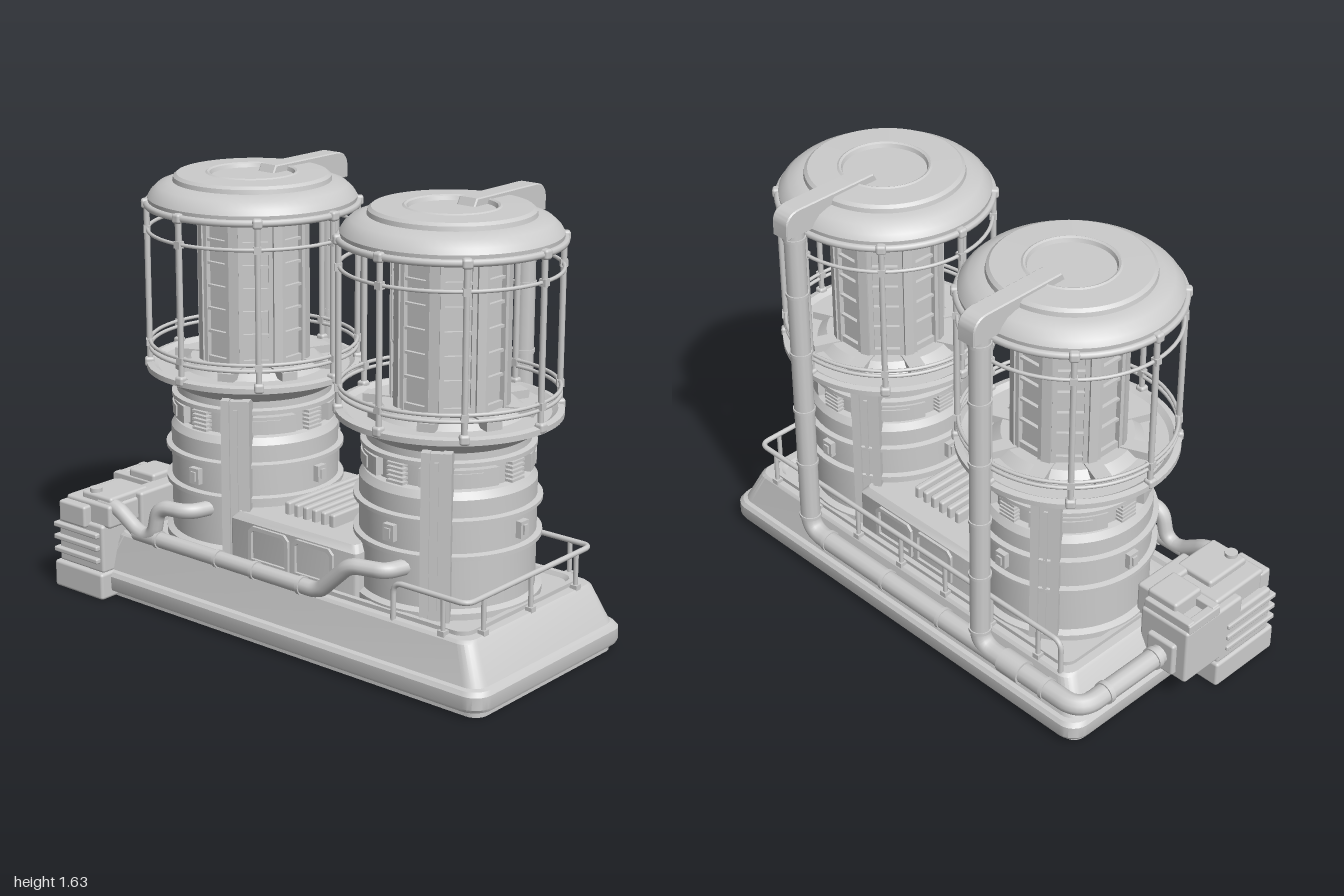
import * as THREE from 'three';
import { toCreasedNormals } from 'three/addons/utils/BufferGeometryUtils.js';
import { RoundedBoxGeometry } from 'three/addons/geometries/RoundedBoxGeometry.js';

const mat = new THREE.MeshStandardMaterial({ color: 0xcccccc });
const V = (x, y, z) => new THREE.Vector3(x, y, z);

function add(parent, name, geo, x = 0, y = 0, z = 0) {
  const m = new THREE.Mesh(geo, mat);
  m.name = name;
  m.position.set(x, y, z);
  parent.add(m);
  return m;
}
function sub(parent, name, x = 0, y = 0, z = 0, ry = 0) {
  const g = new THREE.Group();
  g.name = name;
  g.position.set(x, y, z);
  g.rotation.y = ry;
  parent.add(g);
  return g;
}
const box = (w, h, d) => new THREE.BoxGeometry(w, h, d);
// box given by its extents, with slightly rounded edges
function block(parent, name, x0, x1, y0, y1, z0, z1, r = 0.012) {
  return add(parent, name, new RoundedBoxGeometry(x1 - x0, y1 - y0, z1 - z0, 2, r),
    (x0 + x1) / 2, (y0 + y1) / 2, (z0 + z1) / 2);
}
const lathe = (pts, n = 64) =>
  toCreasedNormals(new THREE.LatheGeometry(pts.map(p => new THREE.Vector2(...p)), n), 0.5);
const hoop = (R, r) => new THREE.TorusGeometry(R, r, 8, 64).rotateX(Math.PI / 2);

// stacked rounded rectangles [halfWidth, halfDepth, cornerRadius, y], bottom to top
function loft(sections, n = 6) {
  const pos = [], idx = [], N = 4 * (n + 1);
  for (const [hw, hd, r, y] of sections)
    for (let c = 0; c < 4; c++)
      for (let i = 0; i <= n; i++) {
        const a = (c + i / n) * Math.PI / 2;
        const sx = c === 0 || c === 3 ? 1 : -1, sz = c < 2 ? 1 : -1;
        pos.push(sx * (hw - r) + r * Math.cos(a), y, sz * (hd - r) + r * Math.sin(a));
      }
  for (let s = 0; s < sections.length - 1; s++)
    for (let i = 0; i < N; i++) {
      const a = s * N + i, b = s * N + (i + 1) % N;
      idx.push(a, a + N, b, b, a + N, b + N);
    }
  const g = new THREE.BufferGeometry();
  g.setAttribute('position', new THREE.Float32BufferAttribute(pos, 3));
  g.setIndex(idx);
  return toCreasedNormals(g, 0.5);
}

// tube along a polyline with rounded corners
function tube(pts, r, bend = 0.05, segs = 100) {
  const path = new THREE.CurvePath();
  let from = pts[0];
  for (let i = 1; i < pts.length - 1; i++) {
    const p = pts[i];
    const a = p.clone().add(pts[i - 1].clone().sub(p).setLength(bend));
    const b = p.clone().add(pts[i + 1].clone().sub(p).setLength(bend));
    path.add(new THREE.LineCurve3(from, a));
    path.add(new THREE.QuadraticBezierCurve3(a, p, b));
    from = b;
  }
  path.add(new THREE.LineCurve3(from, pts[pts.length - 1]));
  return new THREE.TubeGeometry(path, segs, r, 12);
}
function collar(parent, r, len, axis, x, y, z) {
  const m = add(parent, 'pipeCollar', new THREE.CylinderGeometry(r, r, len, 20), x, y, z);
  if (axis === 'x') m.rotation.z = Math.PI / 2;
  if (axis === 'z') m.rotation.x = Math.PI / 2;
}

// curved plate centred on +z
function arcPlate(r0, r1, angle, h) {
  const s = new THREE.Shape(), a = Math.PI / 2;
  s.absarc(0, 0, r1, a - angle / 2, a + angle / 2, false);
  s.absarc(0, 0, r0, a + angle / 2, a - angle / 2, true);
  const g = new THREE.ExtrudeGeometry(s, { depth: h, bevelEnabled: false, curveSegments: 12 });
  return toCreasedNormals(g.rotateX(Math.PI / 2).translate(0, h / 2, 0), 0.5);
}

function tower(root, x) {
  const t = sub(root, 'tower', x);
  add(t, 'towerBody', lathe([[0.335, 0.24], [0.335, 0.27], [0.312, 0.28], [0.312, 0.455], [0.332, 0.46], [0.332, 0.475],
    [0.312, 0.48], [0.312, 0.585], [0.332, 0.59], [0.332, 0.603], [0.312, 0.608], [0.312, 0.67], [0.295, 0.695],
    [0.272, 0.7], [0.272, 0.78], [0.308, 0.785], [0.308, 0.8], [0.288, 0.805], [0.288, 0.83], [0.375, 0.885],
    [0.398, 0.89], [0.398, 0.91], [0.375, 0.915], [0.355, 0.9], [0.27, 0.9], [0.235, 0.93], [0, 0.93]]));
  // neck plates, vents and clasps
  for (let i = 0; i < 4; i++) {
    const q = sub(t, 'neckQuarter', 0, 0, 0, i * Math.PI / 2);
    const p = add(q, 'neckPlate', arcPlate(0.26, 0.3, 0.95, 0.065), 0, 0.74, 0);
    p.rotation.y = Math.PI / 4;
    add(q, 'neckPlateFace', arcPlate(0.29, 0.306, 0.55, 0.042), 0, 0.74, 0).rotation.y = Math.PI / 4;
    for (let k = 0; k < 5; k++) add(q, 'ventSlat', box(0.07, 0.009, 0.05), 0, 0.708 + k * 0.016, 0.275);
    add(q, 'clasp', box(0.045, 0.06, 0.03), 0, 0.535, 0.318);
    add(q, 'claspButton', box(0.022, 0.035, 0.02), 0, 0.535, 0.33);
  }
  // radial support columns
  for (const a of [0.54, 0.54 + Math.PI]) {
    const c = sub(t, 'supportColumn', 0, 0, 0, a);
    const z = a < 1 ? 0.318 : 0.298;
    add(c, 'columnCore', box(0.06, 0.6, 0.07), 0, 0.545, z - 0.01);
    for (const s of [-1, 1]) add(c, 'columnFlange', box(0.03, 0.61, 0.075), s * 0.037, 0.545, z);
    add(c, 'columnStrip', box(0.014, 0.56, 0.01), 0, 0.535, z + 0.028);
  }
  // inner octagonal core
  const R = 0.18;
  add(t, 'core', new THREE.CylinderGeometry(R / Math.cos(Math.PI / 8), R / Math.cos(Math.PI / 8), 0.6, 8, 1, false, Math.PI / 8)
    .toNonIndexed(), 0, 1.21, 0).geometry.computeVertexNormals();
  for (let i = 0; i < 8; i++) {
    const f = sub(t, 'coreSide', 0, 0, 0, i * Math.PI / 4);
    for (const s of [-1, 1]) add(f, 'coreStile', box(0.016, 0.55, 0.022), s * 0.054, 1.205, R + 0.008);
    for (const y of [0.945, 1.05, 1.135, 1.22, 1.305, 1.39, 1.475])
      add(f, 'coreRung', box(0.1, y === 0.945 || y === 1.475 ? 0.025 : 0.01, 0.016), 0, y, R + 0.006);
    const p = sub(f, 'corePillar', 0, 0, 0, Math.PI / 8);
    add(p, 'pillar', box(0.034, 0.56, 0.03), 0, 1.21, 0.198);
    add(p, 'pillarFoot', box(0.06, 0.03, 0.1), 0, 0.92, 0.255);
    // cage post with joints
    add(f, 'cagePost', new THREE.CylinderGeometry(0.011, 0.011, 0.6, 10), 0, 1.2, 0.385);
    for (const y of [0.91, 1.505]) add(f, 'cageJoint', new RoundedBoxGeometry(0.036, 0.036, 0.036, 2, 0.01), 0, y, 0.387);
    for (const y of [0.985, 1.41]) add(f, 'cageClip', box(0.026, 0.026, 0.026), 0, y, 0.385);
  }
  for (const y of [0.97, 0.992, 1.41]) add(t, 'cageRing', hoop(0.383, 0.007), 0, y, 0);
  add(t, 'cageTopRing', hoop(0.385, 0.013), 0, 1.505, 0);
  // cap
  add(t, 'cap', lathe([[0, 1.495], [0.25, 1.495], [0.36, 1.5], [0.38, 1.51], [0.382, 1.53], [0.37, 1.55], [0.345, 1.573],
    [0.31, 1.585], [0.29, 1.588], [0.287, 1.604], [0.275, 1.614], [0.17, 1.616], [0.163, 1.62], [0.155, 1.616],
    [0.15, 1.602], [0, 1.602]]));
  // arm from cap to downpipe
  const s = new THREE.Shape();
  s.moveTo(0.07, 1.59);
  s.lineTo(0.09, 1.625);
  s.lineTo(0.43, 1.625);
  s.quadraticCurveTo(0.488, 1.622, 0.488, 1.57);
  s.lineTo(0.488, 1.53);
  s.lineTo(0.385, 1.53);
  s.lineTo(0.33, 1.575);
  s.closePath();
  const arm = new THREE.ExtrudeGeometry(s, { depth: 0.068, bevelEnabled: true, bevelSize: 0.004, bevelThickness: 0.005, bevelSegments: 1 });
  add(t, 'capArm', toCreasedNormals(arm.translate(0, 0, -0.034).rotateY(Math.PI / 2), 0.5));
}

function base(root) {
  const b = sub(root, 'base', 0.07);
  add(b, 'plinth', loft([[0, 0, 0, 0], [0.905, 0.405, 0.05, 0], [0.905, 0.405, 0.05, 0.02], [0.925, 0.432, 0.07, 0.028],
    [0.93, 0.437, 0.07, 0.04], [0.93, 0.437, 0.07, 0.085], [0.92, 0.427, 0.07, 0.1], [0.905, 0.412, 0.06, 0.105],
    [0.84, 0.377, 0.05, 0.235], [0.83, 0.367, 0.05, 0.245], [0.8, 0.345, 0.05, 0.247], [0.8, 0.345, 0.05, 0.262],
    [0.78, 0.325, 0.05, 0.262], [0.77, 0.315, 0.05, 0.247], [0, 0, 0, 0.247]]));
  // housing with cooling fins between the towers
  add(b, 'housing', loft([[0.3, 0.315, 0.02, 0.24], [0.3, 0.315, 0.02, 0.41], [0.28, 0.295, 0.02, 0.435], [0, 0, 0, 0.435]]));
  for (const s of [-1, 1])
    for (const x of [-0.105, 0.105]) {
      const o = new THREE.Shape([[-0.095, -0.07], [0.095, -0.07], [0.095, 0.05], [0.075, 0.07], [-0.075, 0.07], [-0.095, 0.05]]
        .map(p => new THREE.Vector2(...p)));
      o.holes.push(new THREE.Path([[-0.08, -0.055], [-0.08, 0.045], [-0.065, 0.056], [0.065, 0.056], [0.08, 0.045], [0.08, -0.055]]
        .map(p => new THREE.Vector2(...p))));
      const g = new THREE.ExtrudeGeometry(o, { depth: 0.012, bevelEnabled: false });
      add(b, 'housingFrame', g, x, 0.335, s > 0 ? 0.314 : -0.326);
    }
  for (let i = 0; i < 6; i++) block(b, 'coolingFin', -0.125 + i * 0.042, -0.1 + i * 0.042, 0.42, 0.482, -0.21, 0.21, 0.008);
}

function railing(root) {
  const r = sub(root, 'railing'), y = 0.378, xr = 0.89, zr = 0.362;
  add(r, 'handrail', tube([V(0.575, 0.24, zr), V(0.575, y, zr), V(xr, y, zr), V(xr, y, -zr), V(-0.72, y, -zr), V(-0.72, 0.24, -zr)],
    0.01, 0.04, 240));
  const posts = [[0.79, zr], [xr, 0.27], [xr, 0], [xr, -0.27]];
  for (let i = 0; i < 7; i++) posts.push([0.8 - i * 0.235, -zr]);
  for (const [x, z] of posts) {
    add(r, 'railPost', new THREE.CylinderGeometry(0.009, 0.009, 0.14, 8), x, 0.31, z);
    add(r, 'railFoot', box(0.028, 0.02, 0.028), x, 0.25, z);
  }
}

function pipes(root) {
  const p = sub(root, 'pipework'), z = -0.43, y = 0.207, r = 0.038;
  // rear downpipes joining the long return pipe
  add(p, 'returnPipe', tube([V(0.525, 1.55, z), V(0.525, y, z), V(-0.877, y, z), V(-0.877, y, 0.04)], r, 0.08, 240));
  add(p, 'rearDownpipe', tube([V(-0.39, 1.55, z), V(-0.39, y, z), V(-0.6, y, z)], r, 0.08, 100));
  for (const x of [0.525, -0.39]) for (const h of [0.28, 0.53, 0.77, 1.02, 1.27, 1.5]) collar(p, 0.042, 0.012, 'y', x, h, z);
  for (const x of [0.42, 0.1, -0.2, -0.72]) collar(p, 0.042, 0.015, 'x', x, y, z);
  collar(p, 0.046, 0.1, 'x', -0.56, y, z);
  for (const k of [-0.3, -0.05]) collar(p, 0.043, 0.02, 'z', -0.877, y, k);
  // front feed pipe and its branch
  const fz = 0.408, q = 0.029;
  add(p, 'feedPipe', tube([V(-0.8, 0.36, fz), V(-0.72, 0.36, fz), V(-0.6, 0.283, fz), V(0.28, 0.283, fz),
    V(0.42, 0.413, fz), V(0.55, 0.413, 0.375), V(0.58, 0.413, 0.27)], q, 0.035, 200));
  add(p, 'feedBranch', tube([V(-0.62, 0.283, fz), V(-0.53, 0.283, fz), V(-0.5, 0.413, fz), V(-0.37, 0.413, 0.385), V(-0.34, 0.413, 0.27)],
    q, 0.05, 120));
  for (const x of [-0.5, -0.2, -0.02, 0.2]) collar(p, 0.034, 0.014, 'x', x, 0.283, fz);
}

function pump(root) {
  const g = sub(root, 'pumpUnit');
  block(g, 'pumpFoot', -0.995, -0.735, 0, 0.105, 0.17, 0.485);
  block(g, 'pumpBody', -0.985, -0.745, 0.1, 0.29, 0.18, 0.465);
  block(g, 'pumpUpper', -0.955, -0.72, 0.28, 0.37, 0.19, 0.45);
  block(g, 'pumpLid', -0.89, -0.73, 0.36, 0.395, 0.23, 0.43);
  add(g, 'pumpKnob', new THREE.CylinderGeometry(0.024, 0.024, 0.02, 20), -0.84, 0.4, 0.4);
  for (const y of [0.14, 0.19, 0.24]) block(g, 'pumpRib', -0.995, -0.76, y, y + 0.02, 0.22, 0.485, 0.006);
  block(g, 'pumpFrontPanel', -0.96, -0.82, 0.27, 0.355, 0.43, 0.485, 0.01);
  // rear valve box with an open frame on top
  block(g, 'valveBox', -0.985, -0.765, 0.12, 0.35, 0.0, 0.3);
  for (const z of [0.01, 0.14]) block(g, 'frameBar', -0.98, -0.77, 0.34, 0.385, z, z + 0.035, 0.006);
  block(g, 'frameSide', -0.985, -0.95, 0.34, 0.38, 0.01, 0.175, 0.006);
  block(g, 'frameCover', -0.9, -0.765, 0.34, 0.415, 0.03, 0.17, 0.012);
  block(g, 'valveFlange', -0.94, -0.815, 0.14, 0.275, -0.02, 0.02, 0.01);
  block(g, 'deckCoupling', -0.78, -0.7, 0.2, 0.39, 0.05, 0.3, 0.012);
}

export function createModel() {
  const root = new THREE.Group();
  root.name = 'twinTowerReactor';
  base(root);
  for (const x of [-0.39, 0.525]) tower(root, x);
  railing(root);
  pipes(root);
  pump(root);
  return root;
}
